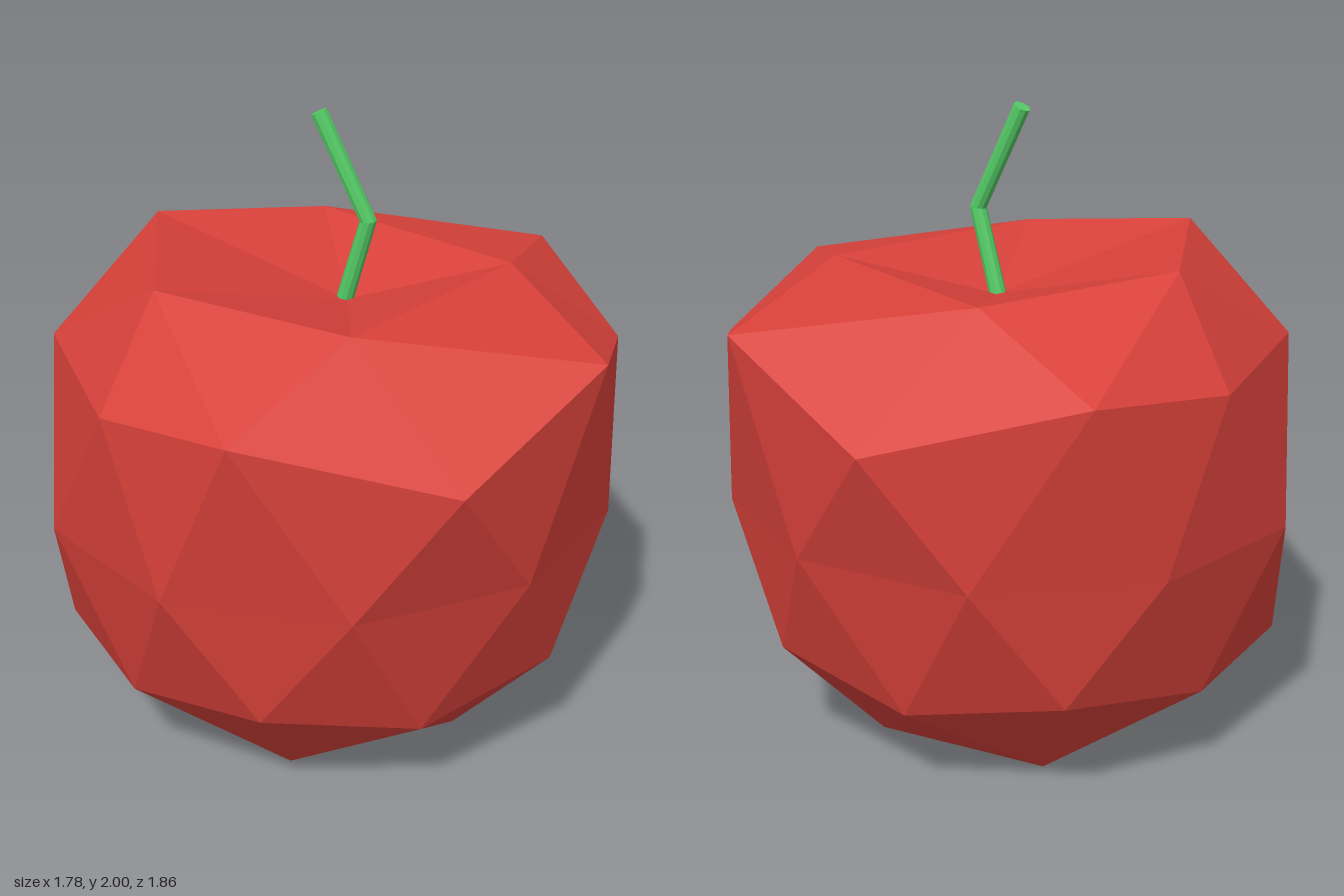
import * as THREE from 'three';

// Completes a ring, listed from +x round to -x, by mirroring it across z = 0.
function mirrorRing(half) {
  const back = half.filter(p => p[2] > 0).reverse().map(([x, y, z]) => [x, y, -z]);
  return [...half, ...back];
}

// Faceted body: rings of 5, 10, 10, 10 and 5 points between two poles.
function createBody() {
  const crown = [0.03, 1.40, 0];
  const rim = mirrorRing([[0.54, 1.505, 0], [0, 1.51, 0.57], [-0.55, 1.58, 0.35]]);
  const shoulder = mirrorRing([
    [0.89, 1.25, 0], [0.735, 1.395, 0.55], [0.28, 1.175, 0.93],
    [-0.36, 1.33, 0.89], [-0.71, 1.285, 0.57], [-0.875, 1.31, 0],
  ]);
  const waist = mirrorRing([
    [0.83, 0.78, 0.28], [0.51, 0.78, 0.72], [-0.02, 0.78, 0.91],
    [-0.56, 0.78, 0.74], [-0.89, 0.78, 0.28],
  ]);
  const belly = mirrorRing([
    [0.74, 0.305, 0], [0.63, 0.375, 0.48], [0.20, 0.305, 0.735],
    [-0.28, 0.375, 0.77], [-0.66, 0.305, 0.46], [-0.87, 0.32, 0],
  ]);
  const foot = mirrorRing([[0.36, 0.01, 0.28], [-0.18, 0.01, 0.46], [-0.51, 0.01, 0]]);
  const base = [-0.03, 0, 0];

  const positions = [];
  const at = (ring, i) => ring[i % ring.length];
  const tri = (a, b, c) => positions.push(...a, ...b, ...c);

  // Sunken top, shoulder slope, underside
  for (let k = 0; k < 5; k++) {
    const p = at(rim, k), pNext = at(rim, k + 1);
    const s0 = at(shoulder, 2 * k), s1 = at(shoulder, 2 * k + 1), s2 = at(shoulder, 2 * k + 2);
    tri(p, crown, pNext);
    tri(s0, p, s1);
    tri(p, pNext, s1);
    tri(s1, pNext, s2);

    const f = at(foot, k), fNext = at(foot, k + 1);
    const b0 = at(belly, 2 * k), b1 = at(belly, 2 * k + 1), b2 = at(belly, 2 * k + 2);
    tri(b0, b1, f);
    tri(b1, b2, f);
    tri(f, b2, fNext);
    tri(f, fNext, base);
  }
  // Sides
  for (let j = 0; j < 10; j++) {
    const w = at(waist, j), wNext = at(waist, j + 1);
    tri(at(shoulder, j), at(shoulder, j + 1), w);
    tri(w, at(shoulder, j + 1), wNext);
    tri(w, wNext, at(belly, j + 1));
    tri(at(belly, j), w, at(belly, j + 1));
  }

  const geometry = new THREE.BufferGeometry();
  geometry.setAttribute('position', new THREE.Float32BufferAttribute(positions, 3));
  geometry.computeVertexNormals();
  const body = new THREE.Mesh(geometry, new THREE.MeshStandardMaterial({ color: 0xd8413a, flatShading: true }));
  body.name = 'body';
  return body;
}

// Stem: a cylinder whose three rings are moved onto a bent path.
function createStem() {
  const path = [
    new THREE.Vector3(0.02, 1.38, -0.01),
    new THREE.Vector3(0.092, 1.665, 0.036),
    new THREE.Vector3(-0.052, 1.988, -0.027),
  ];
  const lower = path[1].clone().sub(path[0]).normalize();
  const upper = path[2].clone().sub(path[1]).normalize();
  const directions = [lower, lower.clone().add(upper).normalize(), upper];
  const up = new THREE.Vector3(0, 1, 0);
  const turns = directions.map(d => new THREE.Quaternion().setFromUnitVectors(up, d));

  const geometry = new THREE.CylinderGeometry(0.027, 0.027, 2, 10, 2);
  const position = geometry.attributes.position;
  const v = new THREE.Vector3();
  for (let i = 0; i < position.count; i++) {
    v.fromBufferAttribute(position, i);
    const ring = Math.round(v.y) + 1;
    v.setY(0).applyQuaternion(turns[ring]).add(path[ring]);
    position.setXYZ(i, v.x, v.y, v.z);
  }
  geometry.computeVertexNormals();
  const stem = new THREE.Mesh(geometry, new THREE.MeshStandardMaterial({ color: 0x55cc66, flatShading: true }));
  stem.name = 'stem';
  return stem;
}

export function createModel() {
  const model = new THREE.Group();
  model.name = 'apple';
  model.add(createBody(), createStem());
  return model;
}
